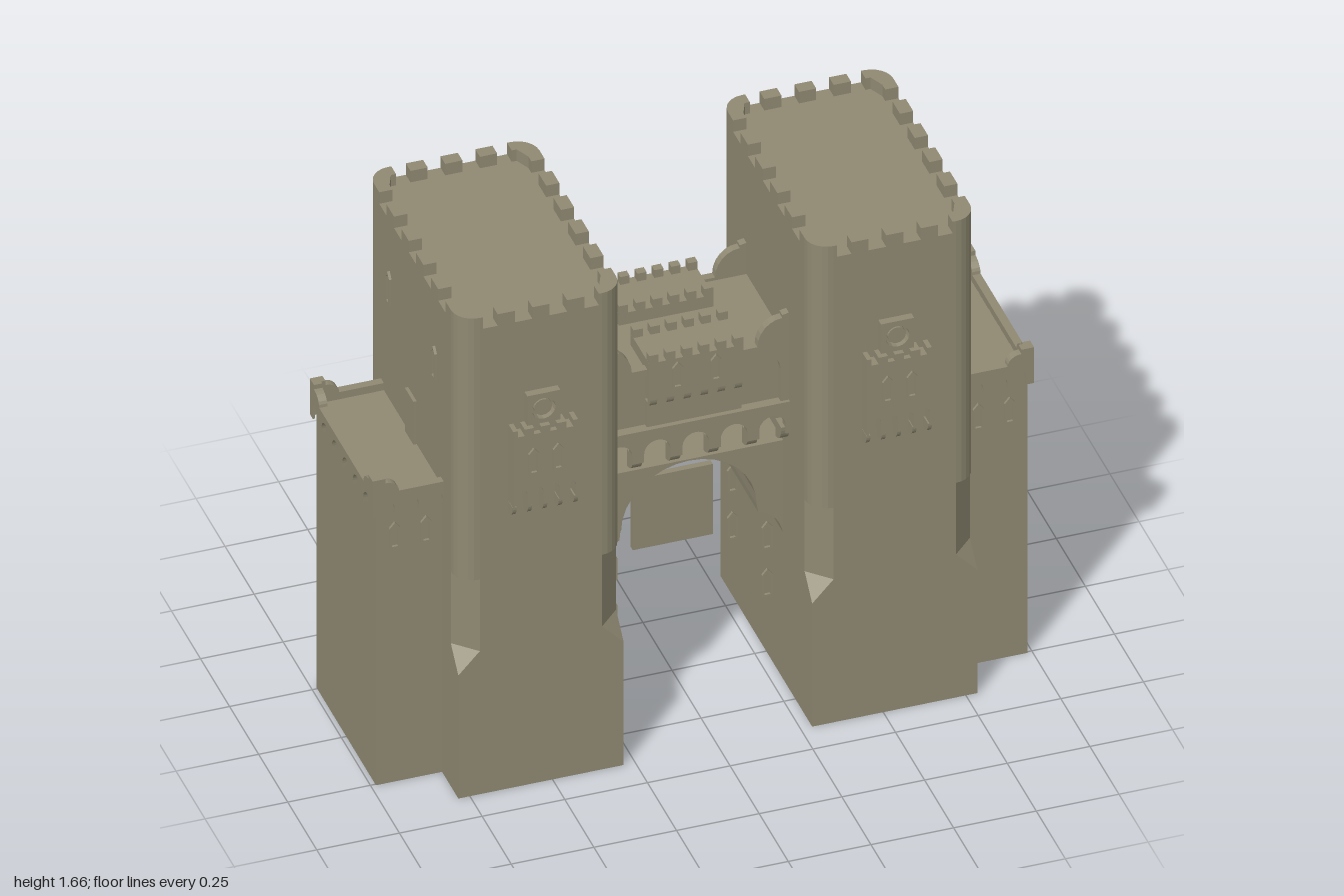
import * as THREE from 'three';

const stone = new THREE.MeshStandardMaterial({ color: 0x8f8972, flatShading: true });
stone.name = 'sandstone';

function add(parent, geo, name, x = 0, y = 0, z = 0, ry = 0) {
  const m = new THREE.Mesh(geo, stone);
  m.name = name;
  m.position.set(x, y, z);
  m.rotation.y = ry;
  parent.add(m);
  return m;
}

// Box given by its minimum and maximum on each axis
function block(parent, name, x0, x1, y0, y1, z0, z1) {
  return add(parent, new THREE.BoxGeometry(x1 - x0, y1 - y0, z1 - z0), name,
    (x0 + x1) / 2, (y0 + y1) / 2, (z0 + z1) / 2);
}

const extrude = (shape, depth) =>
  new THREE.ExtrudeGeometry(shape, { depth, bevelEnabled: false, curveSegments: 8 });

const poly = pts => new THREE.Shape(pts.map(p => new THREE.Vector2(...p)));

// Pointed window surround, base at y = 0
function lancet(parent, x, y, z, h = 0.09, ry = 0) {
  const outline = (w, b, t) => [[-w, b], [w, b], [w, t - w * 1.2], [0, t], [-w, t - w * 1.2]];
  const s = poly(outline(0.016, 0, h));
  s.holes.push(new THREE.Path(outline(0.009, 0.007, h - 0.01).map(p => new THREE.Vector2(...p))));
  add(parent, extrude(s, 0.008), 'windowFrame', x, y, z, ry);
}

// Wall strip with a row of round arches cut from its lower edge;
// top lists the upper outline from right to left
function scallop(x0, x1, foot, spring, n, r, top) {
  const s = new THREE.Shape(), pitch = (x1 - x0) / n;
  s.moveTo(x0, foot);
  for (let i = 0; i < n; i++) {
    const c = x0 + pitch * (i + 0.5);
    s.lineTo(c - r, foot);
    s.lineTo(c - r, spring);
    s.absarc(c, spring, r, Math.PI, 0, true);
    s.lineTo(c + r, foot);
  }
  s.lineTo(x1, foot);
  top.forEach(p => s.lineTo(...p));
  return s;
}

// Concave sweep from a raised corner down to the parapet
function sweep(x0, y0, x1, y1) {
  return Array.from({ length: 7 }, (_, i) => {
    const a = i / 6 * Math.PI / 2;
    return [x1 + (x0 - x1) * (1 - Math.sin(a)), y0 + (y1 - y0) * (1 - Math.cos(a))];
  });
}

// Curved bracket under an overhang, projecting d and rising h
function corbel(parent, x, y, z, w, h, d) {
  const s = new THREE.Shape();
  s.moveTo(0, 0);
  s.quadraticCurveTo(d, h * 0.1, d, h);
  s.lineTo(0, h);
  add(parent, extrude(s, w).rotateY(-Math.PI / 2), 'corbel', x + w / 2, y, z);
}

// Tower body: square base, chamfered middle, rounded upper corners
const HX = 0.25, HZ = 0.395, R = 0.065, SEG = 6;
function towerBody() {
  const ring = (y, kind) => {
    const pts = [];
    [[1, 1], [-1, 1], [-1, -1], [1, -1]].forEach(([sx, sz], q) => {
      for (let i = 0; i <= SEG; i++) {
        const t = q % 2 ? 1 - i / SEG : i / SEG, a = t * Math.PI / 2;
        const u = kind === 0 ? 0 : kind === 1 ? t : 1 - Math.cos(a);
        const v = kind === 0 ? 0 : kind === 1 ? 1 - t : 1 - Math.sin(a);
        pts.push([sx * (HX - R * u), y, sz * (HZ - R * v)]);
      }
    });
    return pts;
  };
  const rings = [ring(0, 0), ring(0.43, 0), ring(0.5, 1), ring(0.75, 1), ring(0.75, 2), ring(1.625, 2)];
  const n = rings[0].length, pos = [];
  for (let k = 0; k < rings.length - 1; k++) for (let i = 0; i < n; i++) {
    const j = (i + 1) % n, a = rings[k][i], b = rings[k][j], c = rings[k + 1][j], d = rings[k + 1][i];
    pos.push(...a, ...c, ...b, ...a, ...d, ...c);
  }
  const top = rings[rings.length - 1];
  for (let i = 0; i < n; i++) {
    const j = (i + 1) % n;
    pos.push(0, 1.625, 0, ...top[j], ...top[i], 0, 0, 0, ...rings[0][i], ...rings[0][j]);
  }
  const g = new THREE.BufferGeometry();
  g.setAttribute('position', new THREE.Float32BufferAttribute(pos, 3));
  g.computeVertexNormals();
  return g;
}

// Oriel on a tower face, local z = 0 at the wall
function oriel() {
  const g = new THREE.Group();
  g.name = 'oriel';
  const W = 0.098, top = [];
  for (let i = 0; i < 5; i++) {
    const c = W - i * W / 2, a = Math.min(c + 0.014, W), b = Math.max(c - 0.014, -W);
    top.push([a, 1.25], [a, 1.272], [b, 1.272], [b, 1.25]);
  }
  add(g, extrude(scallop(-W, W, 1.0, 1.045, 4, 0.018, top), 0.04), 'orielWall');
  for (let i = 0; i < 5; i++) corbel(g, (i - 2) * 0.0465, 0.965, 0, 0.012, 0.04, 0.038);
  [-0.037, 0.037].forEach(x => lancet(g, x, 1.115, 0.04));
  // round ornament above
  const s = poly([[-0.05, 1.25], [0.05, 1.25], [0.05, 1.375], [-0.05, 1.375]]);
  const hole = new THREE.Path();
  hole.absarc(0, 1.322, 0.036, 0, Math.PI * 2, true);
  s.holes.push(hole);
  add(g, extrude(s, 0.024), 'ornamentFrame');
  add(g, new THREE.CylinderGeometry(0.027, 0.027, 0.018, 16).rotateX(Math.PI / 2), 'ornamentDisc', 0, 1.322, 0.009);
  return g;
}

// Low side block with arched parapet
function annex() {
  const g = new THREE.Group();
  g.name = 'annex';
  block(g, 'annexBody', 0.78, 0.985, 0, 1.0, -0.255, 0.255);
  const horn = [[0.27, 1.075], [0.235, 1.075], ...sweep(0.235, 1.06, 0.19, 1.025)];
  const both = [...horn, ...horn.map(([x, y]) => [-x, y]).reverse()];
  add(g, extrude(scallop(-0.27, 0.27, 0.95, 0.965, 6, 0.037, both), 0.025), 'outerParapet', 0.975, 0, 0, Math.PI / 2);
  const side = [[1, 1.075], [0.962, 1.075], ...sweep(0.962, 1.06, 0.92, 1.025), [0.78, 1.025]];
  [0.245, -0.27].forEach(z =>
    add(g, extrude(scallop(0.78, 1, 0.95, 0.965, 3, 0.03, side), 0.025), 'sideParapet', 0, 0, z));
  [0.835, 0.93].forEach(x => {
    lancet(g, x, 0.82, 0.255);
    lancet(g, x, 0.82, -0.255, 0.09, Math.PI);
  });
  return g;
}

function tower() {
  const g = new THREE.Group();
  g.name = 'tower';
  const cx = 0.535, y0 = 1.62, y1 = 1.665, t = 0.04;
  add(g, towerBody(), 'towerBody', cx);
  // battlements
  for (const s of [-1, 1]) {
    for (const x of [-0.105, 0, 0.105])
      block(g, 'merlon', cx + x - 0.026, cx + x + 0.026, y0, y1, s * (HZ - t / 2) - t / 2, s * (HZ - t / 2) + t / 2);
    for (const z of [-0.19, -0.063, 0.063, 0.19])
      block(g, 'merlon', cx + s * (HX - t / 2) - t / 2, cx + s * (HX - t / 2) + t / 2, y0, y1, z - 0.032, z + 0.032);
    for (const sx of [-1, 1]) {
      const c = new THREE.Shape();
      c.moveTo(sx * (HX - 0.075), s * HZ);
      for (let i = 0; i <= 6; i++) {
        const a = Math.PI / 2 * (1 - i / 6);
        c.lineTo(sx * (HX - R + R * Math.cos(a)), s * (HZ - R + R * Math.sin(a)));
      }
      [[0, 0.11], [t, 0.11], [t, 0.085], [0.06, t], [0.075, t]]
        .forEach(([a, b]) => c.lineTo(sx * (HX - a), s * (HZ - b)));
      add(g, extrude(c, y1 - y0).rotateX(Math.PI / 2), 'cornerMerlon', cx, y1, 0);
    }
    const o = oriel();
    o.position.set(cx, 0, s * HZ);
    o.rotation.y = s > 0 ? 0 : Math.PI;
    g.add(o);
    lancet(g, cx + HX, 1.34, s * 0.195, 0.11, Math.PI / 2);
  }
  block(g, 'roofDoor', 0.78, 0.795, 1.0, 1.15, -0.037, 0.037);
  g.add(annex());
  return g;
}

// One face of the bridge, facing +z
function bridgeFace() {
  const g = new THREE.Group();
  g.name = 'bridgeFace';
  const W = 0.29;
  add(g, extrude(scallop(-W, W, 0.9, 0.93, 5, 0.04, [[W, 1.01], [-W, 1.01]]), 0.03), 'arcade', 0, 0, 0.175);
  for (let i = 0; i < 6; i++) {
    const x = Math.max(-0.275, Math.min(0.275, (i - 2.5) * 0.116));
    corbel(g, x, 0.86, 0.15, 0.03, 0.06, 0.05);
  }
  // wall with a wide round-cornered niche and swept ends
  const edge = [[W, 1.315], [0.265, 1.31], ...sweep(0.265, 1.3, 0.19, 1.215)];
  const wall = poly([[-W, 1.0], [W, 1.0], ...edge, ...edge.map(([x, y]) => [-x, y]).reverse()]);
  const n = new THREE.Path();
  n.moveTo(-0.26, 1.01);
  n.lineTo(0.26, 1.01);
  n.lineTo(0.26, 1.12);
  n.absarc(0.19, 1.12, 0.07, 0, Math.PI / 2, false);
  n.lineTo(-0.19, 1.19);
  n.absarc(-0.19, 1.12, 0.07, Math.PI / 2, Math.PI, false);
  wall.holes.push(n);
  add(g, extrude(wall, 0.025), 'nicheWall', 0, 0, 0.17);
  block(g, 'bayPier', -0.143, 0.143, 1.0, 1.1, 0.17, 0.19);
  // central battlemented bay
  block(g, 'bay', -0.143, 0.143, 1.115, 1.245, 0.05, 0.21);
  for (let i = 0; i < 6; i++) {
    const x = (i - 2.5) * 0.0515;
    for (const z of [0.05, 0.185]) block(g, 'bayMerlon', x - 0.014, x + 0.014, 1.24, 1.272, z, z + 0.025);
    corbel(g, x, 1.085, 0.185, 0.022, 0.035, 0.024);
  }
  [-0.058, 0.058].forEach(x => lancet(g, x, 1.145, 0.21));
  // pairs of small windows beside the passage
  for (const x of [-0.235, 0.235]) for (const y of [0.305, 0.47]) lancet(g, x, y, 0.145, 0.095);
  return g;
}

function bridge() {
  const g = new THREE.Group();
  g.name = 'bridge';
  block(g, 'bridgeDeck', -0.29, 0.29, 0.975, 1.01, -0.18, 0.18);
  block(g, 'bridgeCore', -0.29, 0.29, 1.0, 1.205, -0.175, 0.175);
  // gate arch springing from curved haunches
  const s = new THREE.Shape();
  s.moveTo(-0.29, 0.835);
  s.lineTo(-0.29, 0.48);
  s.quadraticCurveTo(-0.28, 0.585, -0.21, 0.6);
  s.lineTo(-0.205, 0.65);
  s.absellipse(0, 0.63, 0.205, 0.2, Math.PI, 0, true);
  s.lineTo(0.21, 0.6);
  s.quadraticCurveTo(0.28, 0.585, 0.29, 0.48);
  s.lineTo(0.29, 0.835);
  add(g, extrude(s, 0.29), 'gateArch', 0, 0, -0.145);
  block(g, 'gatePanel', -0.122, 0.12, 0.455, 0.7, -0.01, 0.01);
  for (const ry of [0, Math.PI]) {
    const f = bridgeFace();
    f.rotation.y = ry;
    g.add(f);
  }
  return g;
}

export function createModel() {
  const model = new THREE.Group();
  model.name = 'castleGate';
  const left = tower(), right = tower();
  left.name = 'leftTower';
  right.name = 'rightTower';
  right.rotation.y = Math.PI;
  model.add(left, right, bridge());
  return model;
}
